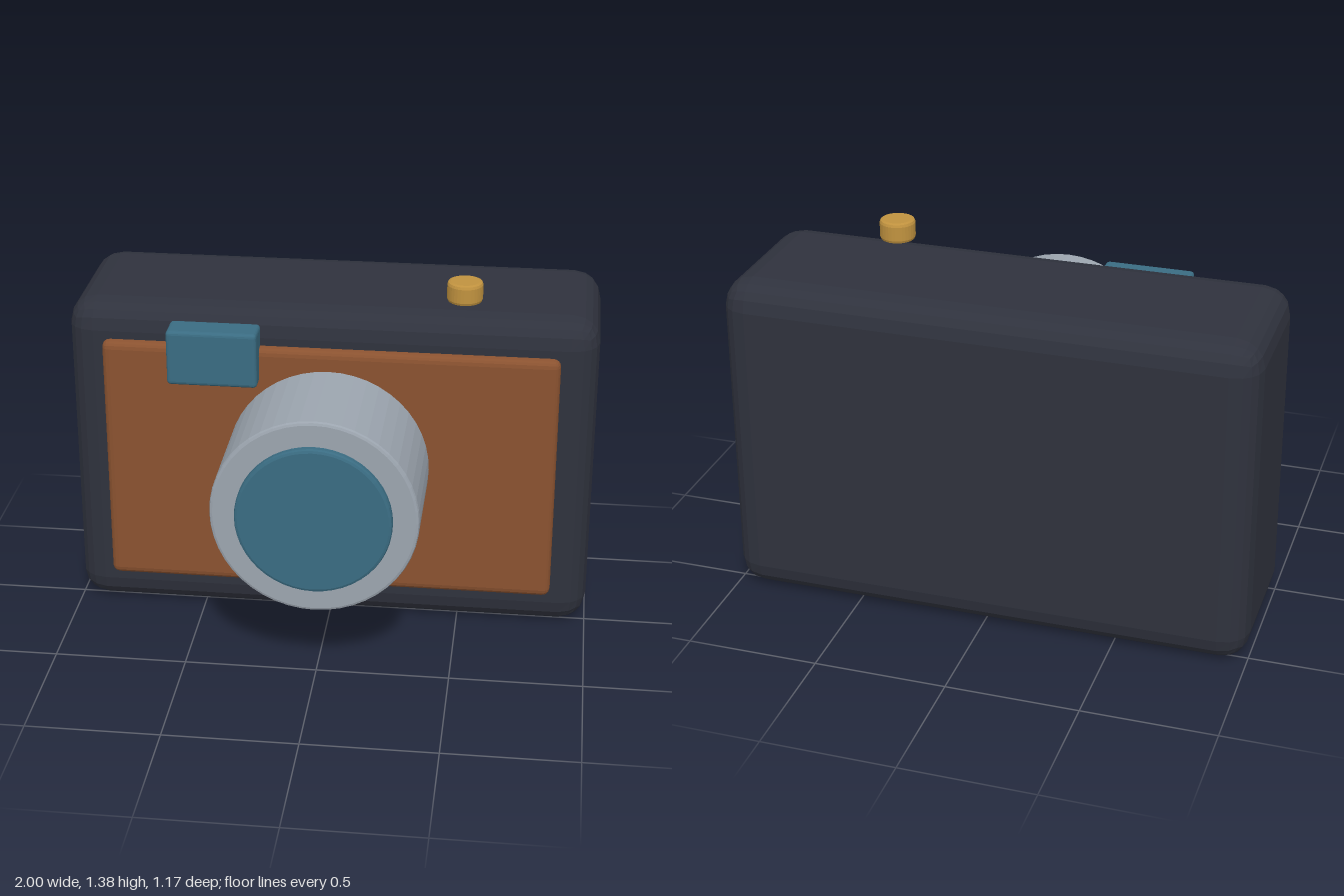
import * as THREE from 'three';
import { RoundedBoxGeometry } from 'three/addons/geometries/RoundedBoxGeometry.js';

const material = (color) => new THREE.MeshStandardMaterial({ color, flatShading: true });
const DARK = material(0x2f323d);
const LEATHER = material(0x8a5230);
const METAL = material(0x9ca5af);
const GLASS = material(0x3a6c82);
const BRASS = material(0xc0923f);

// Rounded box given by its minimum and maximum corners
function block(name, min, max, radius, mat) {
  const size = max.map((v, i) => v - min[i]);
  const mesh = new THREE.Mesh(new RoundedBoxGeometry(...size, 2, radius), mat);
  mesh.position.set(...max.map((v, i) => (v + min[i]) / 2));
  mesh.name = name;
  return mesh;
}

// Solid disc along y, with bevelled rims, starting at y = 0
function disc(name, radius, height, bevel, segments, mat) {
  const b = bevel, m = bevel * 0.29;
  const profile = [
    [0, 0], [radius - b, 0], [radius - m, m], [radius, b],
    [radius, height - b], [radius - m, height - m], [radius - b, height], [0, height],
  ].map(([x, y]) => new THREE.Vector2(x, y));
  const mesh = new THREE.Mesh(new THREE.LatheGeometry(profile, segments), mat);
  mesh.name = name;
  return mesh;
}

export function createModel() {
  const model = new THREE.Group();
  model.name = 'camera';

  // Body, front panel and viewfinder
  model.add(
    block('body', [-1, 0, -0.587], [1, 1.27, 0.073], 0.105, DARK),
    block('frontPanel', [-0.86, 0.145, 0.02], [0.86, 1.135, 0.108], 0.03, LEATHER),
    block('viewfinder', [-0.6, 1.0, 0.05], [-0.26, 1.215, 0.172], 0.015, GLASS),
  );

  // Lens: barrel and front glass, turned to face +z
  const lens = new THREE.Group();
  lens.name = 'lens';
  const barrel = disc('lensBarrel', 0.383, 0.508, 0.012, 48, METAL);
  const glass = disc('lensGlass', 0.288, 0.06, 0.012, 48, GLASS);
  glass.position.y = 0.478;
  lens.add(barrel, glass);
  lens.rotation.x = Math.PI / 2;
  lens.position.set(0, 0.673, 0.05);
  model.add(lens);

  // Shutter button, hovering just above the body
  const button = disc('shutterButton', 0.067, 0.08, 0.013, 32, BRASS);
  button.position.set(0.493, 1.3, -0.051);
  model.add(button);

  return model;
}
